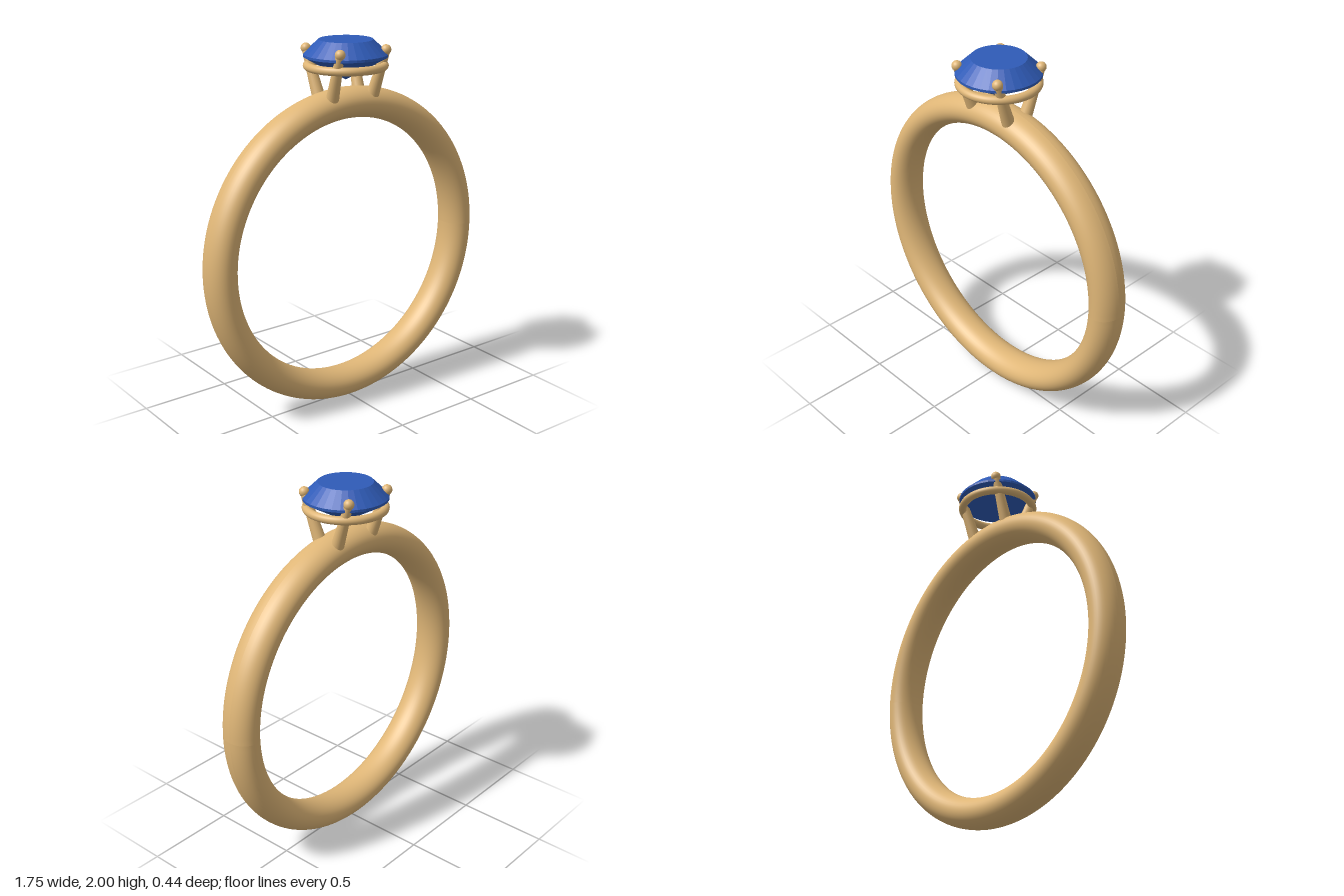
import * as THREE from 'three';

export function createModel() {
  const gold = new THREE.MeshStandardMaterial({ color: 0xdfb677 });
  gold.name = 'gold';
  const blue = new THREE.MeshStandardMaterial({ color: 0x2f5bb7, flatShading: true });
  blue.name = 'sapphire blue';

  const model = new THREE.Group();
  model.name = 'gemstoneRing';
  const add = (parent, name, geometry, material) => {
    const mesh = new THREE.Mesh(geometry, material);
    mesh.name = name;
    parent.add(mesh);
    return mesh;
  };

  // Band: oval section, a little wider than thick
  const bandGeometry = new THREE.TorusGeometry(0.793, 0.082, 40, 160);
  bandGeometry.scale(1, 1, 0.102 / 0.082);
  bandGeometry.computeVertexNormals();
  add(model, 'band', bandGeometry, gold).position.y = 0.877;

  // Thin support ring below the stone
  const support = add(model, 'supportRing', new THREE.TorusGeometry(0.2, 0.022, 20, 80), gold);
  support.rotation.x = Math.PI / 2;
  support.position.y = 1.865;

  // Cut stone: culet, pavilion, girdle, crown and table
  const profile = [[0, 1.79], [0.22, 1.912], [0.22, 1.925], [0.142, 2], [0, 2]]
    .map(([r, y]) => new THREE.Vector2(r, y));
  add(model, 'gemstone', new THREE.LatheGeometry(profile, 32), blue);

  // Four tapered prongs with ball tips
  const up = new THREE.Vector3(0, 1, 0);
  for (const sx of [-1, 1]) {
    for (const sz of [-1, 1]) {
      const prong = new THREE.Group();
      prong.name = `${sz > 0 ? 'front' : 'back'}${sx > 0 ? 'Left' : 'Right'}Prong`;
      const foot = new THREE.Vector3(sx * 0.129, 1.67, sz * 0.046);
      const tip = new THREE.Vector3(sx * 0.147, 1.95, sz * 0.147);
      const axis = tip.clone().sub(foot);
      const post = add(prong, 'prongPost', new THREE.CylinderGeometry(0.022, 0.036, axis.length(), 20), gold);
      post.position.copy(foot).add(tip).multiplyScalar(0.5);
      post.quaternion.setFromUnitVectors(up, axis.normalize());
      add(prong, 'prongTip', new THREE.SphereGeometry(0.027, 20, 14), gold).position.copy(tip);
      model.add(prong);
    }
  }
  return model;
}
